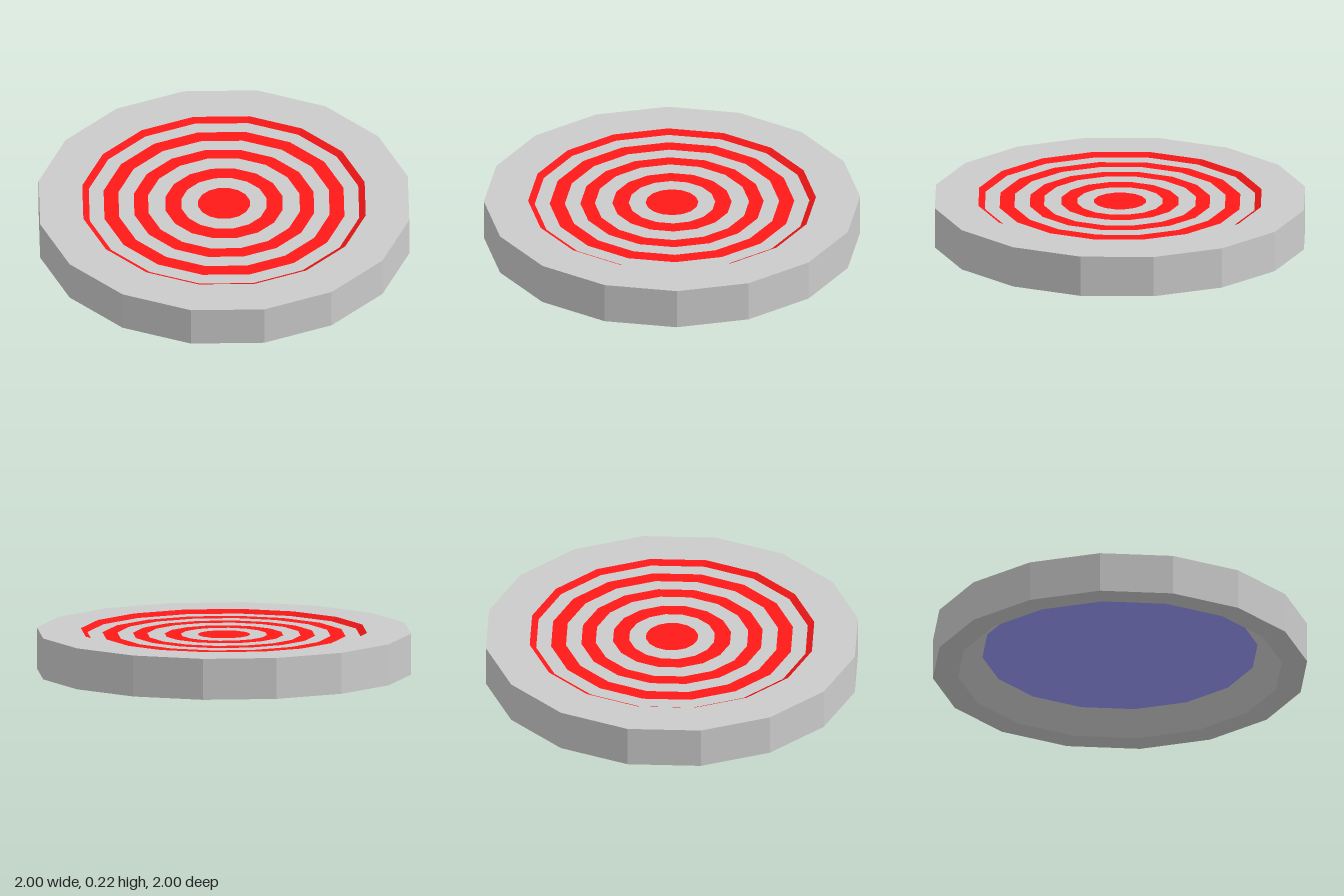
import * as THREE from 'three';

const SIDES = 16;
const TOP = 0.22;      // rim height
const PANEL = 0.2;     // recessed target face
const FLOOR = 0.11;    // recessed underside

const material = (color) => new THREE.MeshStandardMaterial({ color, flatShading: true });

export function createModel() {
  const group = new THREE.Group();
  const grey = material(0xcccccc);
  const red = material(0xff1818);
  const blue = material(0x9d9dff);

  // Revolves a profile of [radius, height] pairs; profiles run underside -> outside -> top
  const turned = (name, mat, profile) => {
    const points = profile.map(([r, y]) => new THREE.Vector2(r, y));
    const mesh = new THREE.Mesh(new THREE.LatheGeometry(points, SIDES), mat);
    mesh.name = name;
    group.add(mesh);
  };

  // Body: sloped underside recess, bottom rim, outer wall and top rim
  turned('body', grey, [[0.735, FLOOR], [0.865, 0], [1, 0], [1, TOP], [0.765, TOP]]);

  // Sloped red step down to the target face
  turned('recessWall', red, [[0.765, TOP], [0.73, PANEL]]);

  // Target face: alternating grey and red bands from the outside in
  const radii = [0.73, 0.65, 0.57, 0.487, 0.41, 0.317, 0.23, 0.14, 0];
  for (let i = 0; i < radii.length - 1; i++) {
    const isRed = i % 2 === 1;
    turned(isRed ? 'redBand' : 'greyBand', isRed ? red : grey,
      [[radii[i], PANEL], [radii[i + 1], PANEL]]);
  }

  // Blue floor of the underside recess
  turned('undersidePanel', blue, [[0, FLOOR], [0.735, FLOOR]]);

  return group;
}
